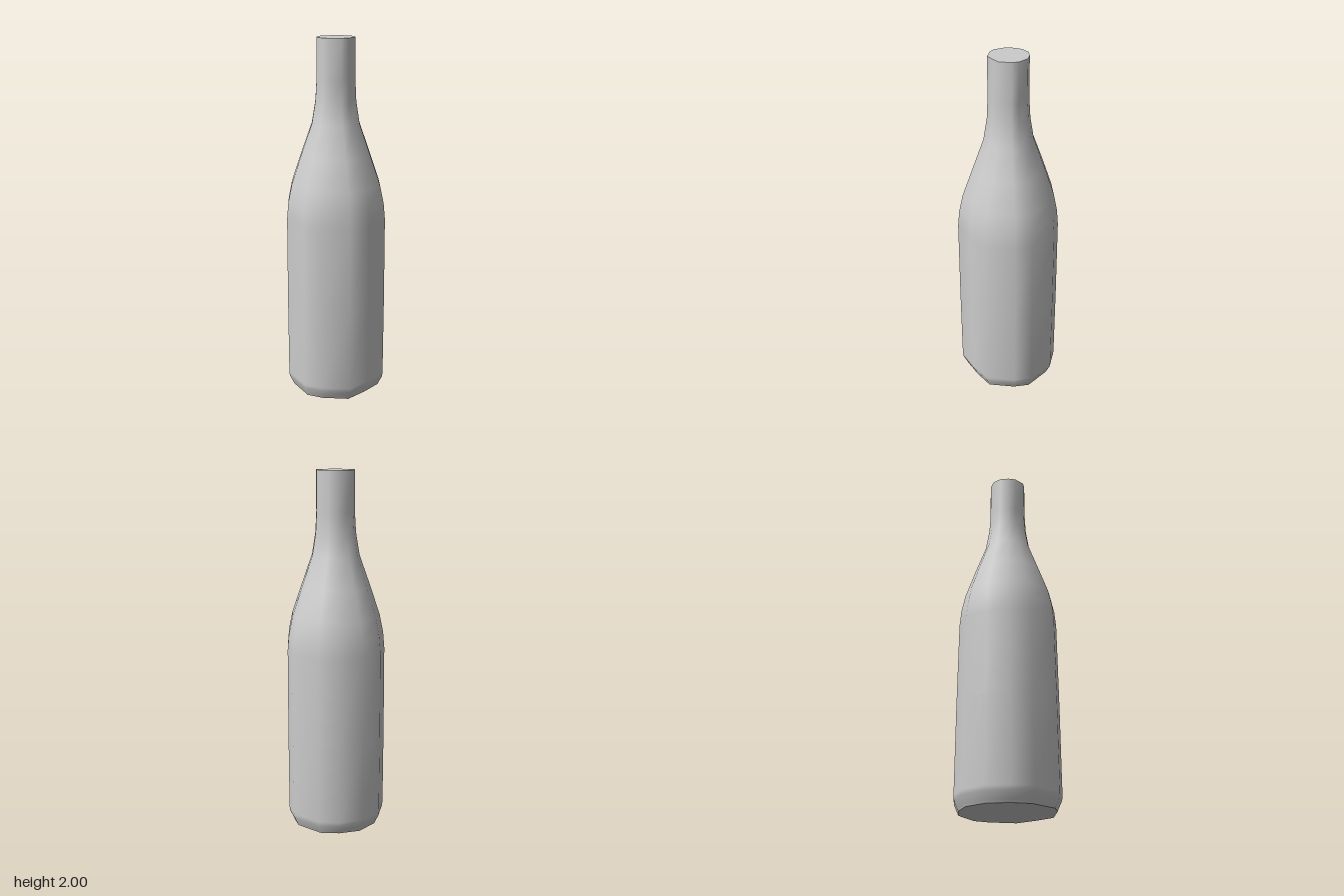
import * as THREE from 'three';

// Irregular faceted outline at full width, half of it; mirrored across z
const half = [
  [0.273, 0], [0.265, 0.134], [0.143, 0.246], [0.055, 0.29],
  [-0.117, 0.26], [-0.205, 0.183], [-0.275, 0.07],
];
const outline = [...half, ...half.slice(1).reverse().map(([x, z]) => [x, -z])];

// Height, outline scale and sideways shift of each ring
const rings = [
  [0, 0.905, 0], [0.015, 0.925, 0], [0.055, 0.99, 0], [0.08, 1, 0], [0.55, 0.995, 0],
  [1.03, 0.98, 0], [1.12, 0.95, 0], [1.22, 0.875, 0], [1.38, 0.68, 0], [1.55, 0.465, 0.002],
  [1.67, 0.395, 0.003], [1.78, 0.373, 0.004], [2, 0.37, 0.004],
];

const ringPoints = ([y, s, dx]) => outline.map(([x, z]) => [x * s + dx, y, z * s]);

function makeGeometry(points, index) {
  const geometry = new THREE.BufferGeometry();
  geometry.setAttribute('position', new THREE.Float32BufferAttribute(points.flat(), 3));
  geometry.setIndex(index);
  geometry.computeVertexNormals();
  return geometry;
}

// Smooth wall lofted through the rings
function wallGeometry() {
  const n = outline.length;
  const index = [];
  for (let j = 0; j < rings.length - 1; j++) {
    for (let i = 0; i < n; i++) {
      const a = j * n + i, b = j * n + (i + 1) % n;
      index.push(a, a + n, b, b, a + n, b + n);
    }
  }
  return makeGeometry(rings.flatMap(ringPoints), index);
}

// Flat disc closing one end
function capGeometry(ring, up) {
  const n = outline.length;
  const index = [];
  for (let i = 0; i < n; i++) {
    const next = (i + 1) % n;
    index.push(n, up ? next : i, up ? i : next);
  }
  return makeGeometry([...ringPoints(ring), [ring[2], ring[0], 0]], index);
}

export function createModel() {
  const group = new THREE.Group();
  group.name = 'bottle';
  const material = new THREE.MeshStandardMaterial({ color: 0xcccccc });
  const add = (name, geometry) => {
    const mesh = new THREE.Mesh(geometry, material);
    mesh.name = name;
    group.add(mesh);
  };
  add('bottleWall', wallGeometry());
  add('base', capGeometry(rings[0], false));
  add('mouth', capGeometry(rings[rings.length - 1], true));
  return group;
}
